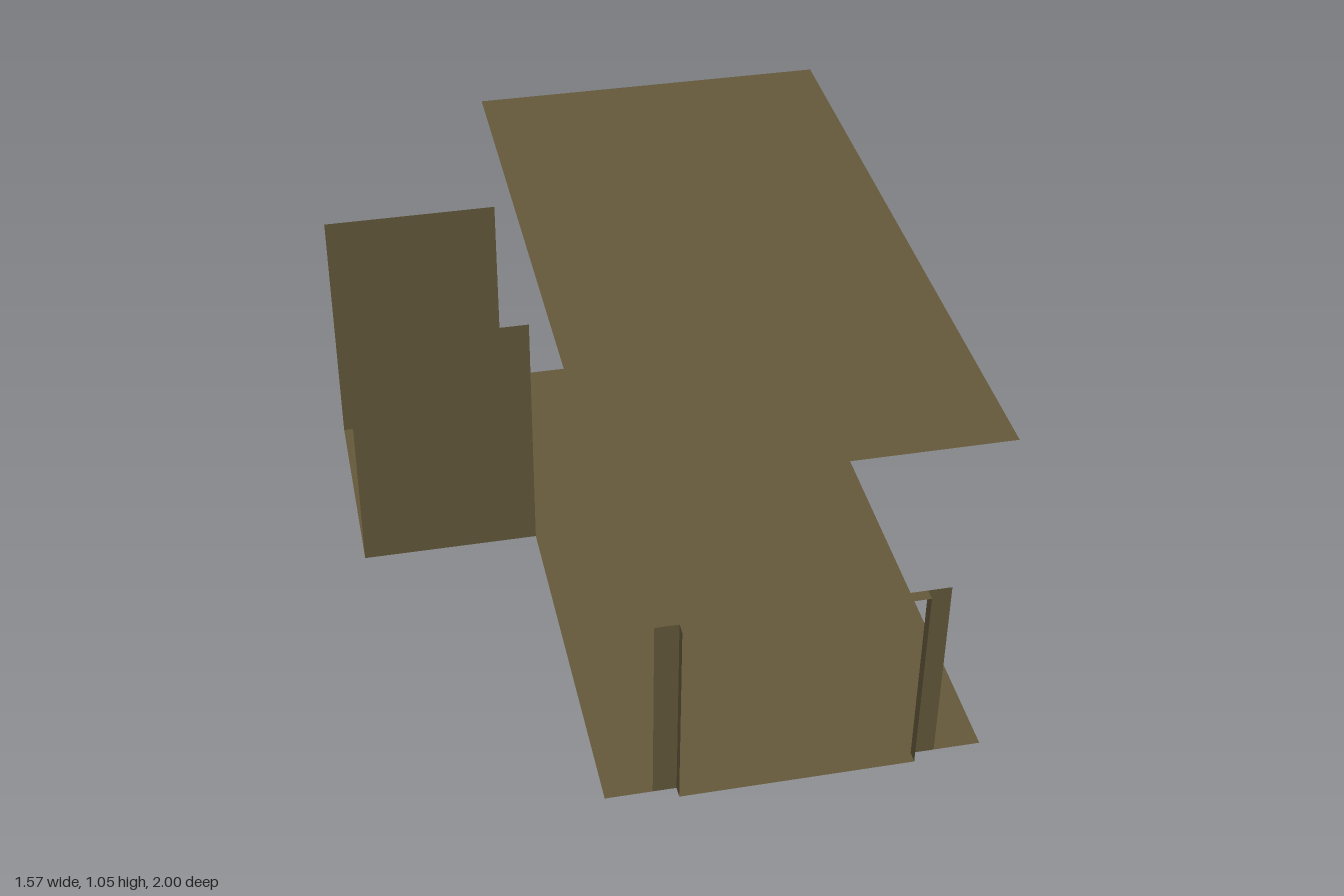
import * as THREE from 'three';

// One module unit; the whole plan is 12 wide and 15.25 deep.
const U = 2 / 15.25;

export function createModel() {
  const model = new THREE.Group();
  model.name = 'roomShell';

  const olive = new THREE.MeshStandardMaterial({ color: 0x64593a, side: THREE.DoubleSide });
  olive.name = 'olive brown';

  const panel = (name, w, h, x, y, z, rx = 0, ry = 0) => {
    const mesh = new THREE.Mesh(new THREE.PlaneGeometry(w * U, h * U), olive);
    mesh.name = name;
    mesh.position.set(x * U, y * U, z * U);
    mesh.rotation.set(rx, ry, 0);
    model.add(mesh);
  };
  // Panels given by their extents in plan or elevation
  const flat = (name, x0, x1, z0, z1, y) =>
    panel(name, x1 - x0, z1 - z0, (x0 + x1) / 2, y, (z0 + z1) / 2, -Math.PI / 2);
  const upright = (name, x0, x1, h, z) =>
    panel(name, x1 - x0, h, (x0 + x1) / 2, h / 2, z);
  const sideways = (name, z0, z1, h, x, facing) =>
    panel(name, z1 - z0, h, x, h / 2, (z0 + z1) / 2, 0, facing * Math.PI / 2);

  const back = -7.625, front = 7.375, outer = 7.625;

  // Main room
  flat('floor', -2, 6, back, front, 0);
  flat('ceiling', -2, 6, back, front, 8);

  // Side alcove, open at its top and end
  flat('alcoveFloor', -6, -2, -6.125, -1.125, 0);
  upright('alcoveBackWall', -6, -2, 6, -6.125);
  upright('alcoveFrontWall', -6, -2, 6, -1.125);

  // Front doorway: jamb faces, reveals, lintel and threshold
  const doorHeight = 4.5;
  upright('rightJamb', -1, -0.5, doorHeight, front);
  upright('leftJamb', 4.5, 5, doorHeight, front);
  sideways('rightReveal', front, outer, doorHeight, -0.5, 1);
  sideways('leftReveal', front, outer, doorHeight, 4.5, -1);
  flat('lintel', -0.5, 4.5, front, outer, doorHeight);
  flat('threshold', -0.5, 4.5, front, outer, 0);

  return model;
}
